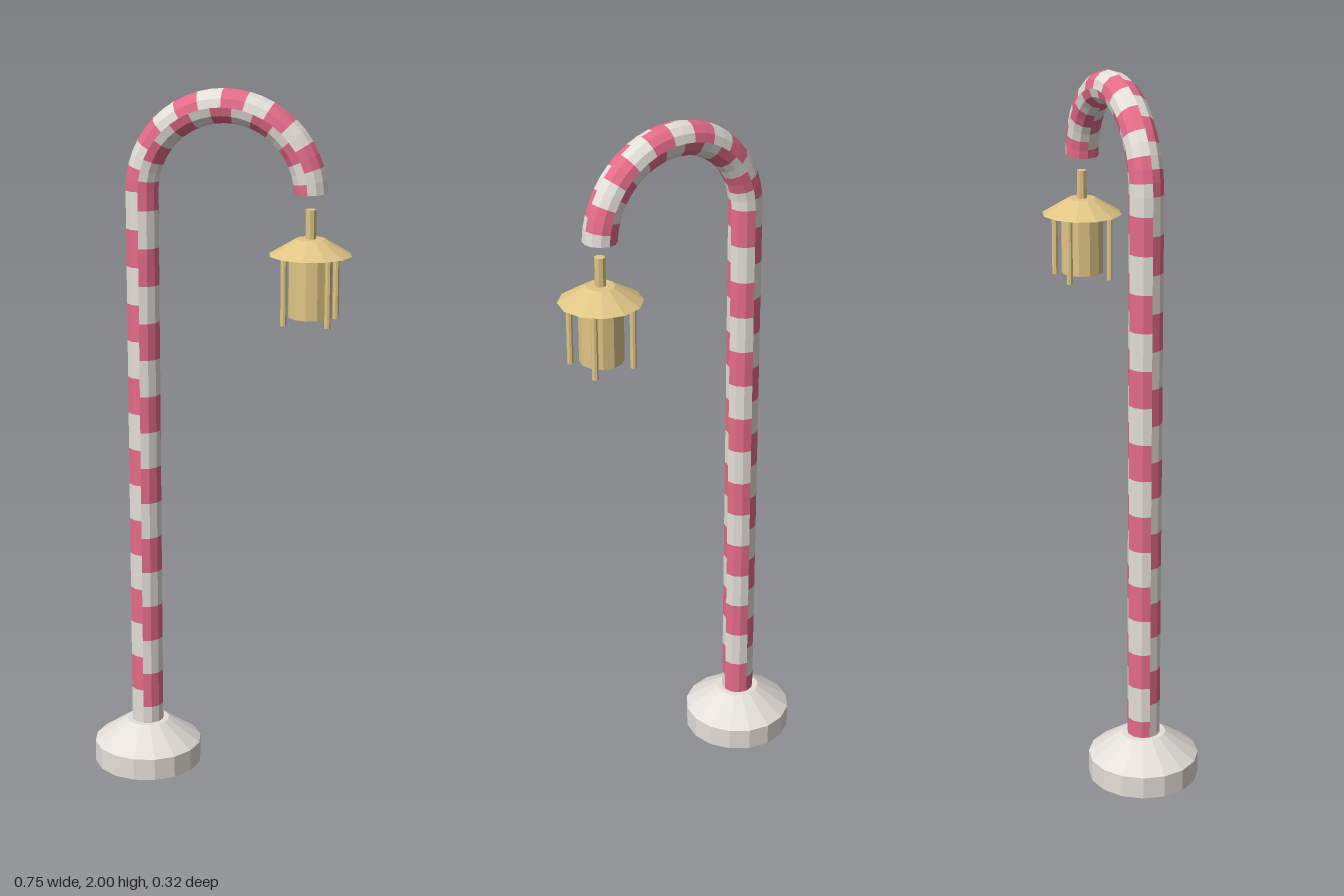
import * as THREE from 'three';

const mat = (name, color) => {
  const m = new THREE.MeshStandardMaterial({ color, flatShading: true });
  m.name = name;
  return m;
};

const POLE_X = -0.217, ARC_X = 0.02, ARC_Y = 1.715, ARC_R = 0.237;
const RADIUS = 0.047, SIDES = 12, POLE_STEPS = 30, ARC_STEPS = 24, POLE_BOTTOM = 0.13;

// Centre of ring i and its outward direction in the xy plane
function ringFrame(i) {
  if (i <= POLE_STEPS) {
    const y = POLE_BOTTOM + (ARC_Y - POLE_BOTTOM) * i / POLE_STEPS;
    return { x: POLE_X, y, ox: -1, oy: 0 };
  }
  const a = (i - POLE_STEPS) / ARC_STEPS * THREE.MathUtils.degToRad(178);
  const ox = -Math.cos(a), oy = Math.sin(a);
  return { x: ARC_X + ARC_R * ox, y: ARC_Y + ARC_R * oy, ox, oy };
}

// Hooked tube; each quarter of its girth shifts the stripe by one step
function stripedTube() {
  const steps = POLE_STEPS + ARC_STEPS;
  const pos = [], white = [], pink = [];
  for (let i = 0; i <= steps; i++) {
    const f = ringFrame(i);
    for (let j = 0; j < SIDES; j++) {
      const t = j / SIDES * Math.PI * 2;
      const out = RADIUS * Math.cos(t);
      pos.push(f.x + f.ox * out, f.y + f.oy * out, RADIUS * Math.sin(t));
    }
  }
  // Phase by quarter: outer front, inner front, inner back, outer back
  const phase = [2, 1, 0, 3];
  for (let i = 0; i < steps; i++) {
    for (let j = 0; j < SIDES; j++) {
      const k = (j + 1) % SIDES;
      const a = i * SIDES + j, b = i * SIDES + k, c = a + SIDES, d = b + SIDES;
      const quarter = Math.floor(j * 4 / SIDES);
      const list = (i - phase[quarter] + 4) % 4 < 2 ? pink : white;
      list.push(a, b, c, b, d, c);
    }
  }
  // End caps
  const last = steps * SIDES;
  for (let j = 1; j < SIDES - 1; j++) {
    white.push(0, j + 1, j);
    white.push(last, last + j, last + j + 1);
  }
  const geo = new THREE.BufferGeometry();
  geo.setAttribute('position', new THREE.Float32BufferAttribute(pos, 3));
  geo.setIndex([...white, ...pink]);
  geo.addGroup(0, white.length, 0);
  geo.addGroup(white.length, pink.length, 1);
  geo.computeVertexNormals();
  return geo;
}

export function createModel() {
  const white = mat('warm white', 0xe4dfd8);
  const pink = mat('candy pink', 0xe46c88);
  const gold = mat('pale gold', 0xe0c585);
  const model = new THREE.Group();
  model.name = 'candyLampPost';

  const drum = (parent, name, material, rTop, rBottom, y0, y1, sides, x = 0, z = 0) => {
    const mesh = new THREE.Mesh(new THREE.CylinderGeometry(rTop, rBottom, y1 - y0, sides), material);
    mesh.position.set(x, (y0 + y1) / 2, z);
    mesh.name = name;
    parent.add(mesh);
  };

  // Foot
  const base = new THREE.Group();
  base.name = 'base';
  base.position.x = POLE_X;
  drum(base, 'baseDrum', white, 0.158, 0.158, 0, 0.065, 16);
  drum(base, 'baseSlope', white, 0.063, 0.158, 0.065, 0.132, 16);
  model.add(base);

  // Striped pole and hook
  const pole = new THREE.Mesh(stripedTube(), [white, pink]);
  pole.name = 'stripedPole';
  model.add(pole);

  // Hanging lantern
  const lantern = new THREE.Group();
  lantern.name = 'lantern';
  lantern.position.x = 0.258;
  drum(lantern, 'lanternStem', gold, 0.015, 0.015, 1.54, 1.68, 8);
  drum(lantern, 'lanternRoof', gold, 0.04, 0.115, 1.555, 1.6, 12);
  drum(lantern, 'lanternBody', gold, 0.061, 0.061, 1.383, 1.545, 12);
  for (const x of [-0.061, 0.061]) {
    for (const z of [-0.061, 0.061]) drum(lantern, 'lanternPost', gold, 0.009, 0.009, 1.367, 1.558, 8, x, z);
  }
  model.add(lantern);
  return model;
}
